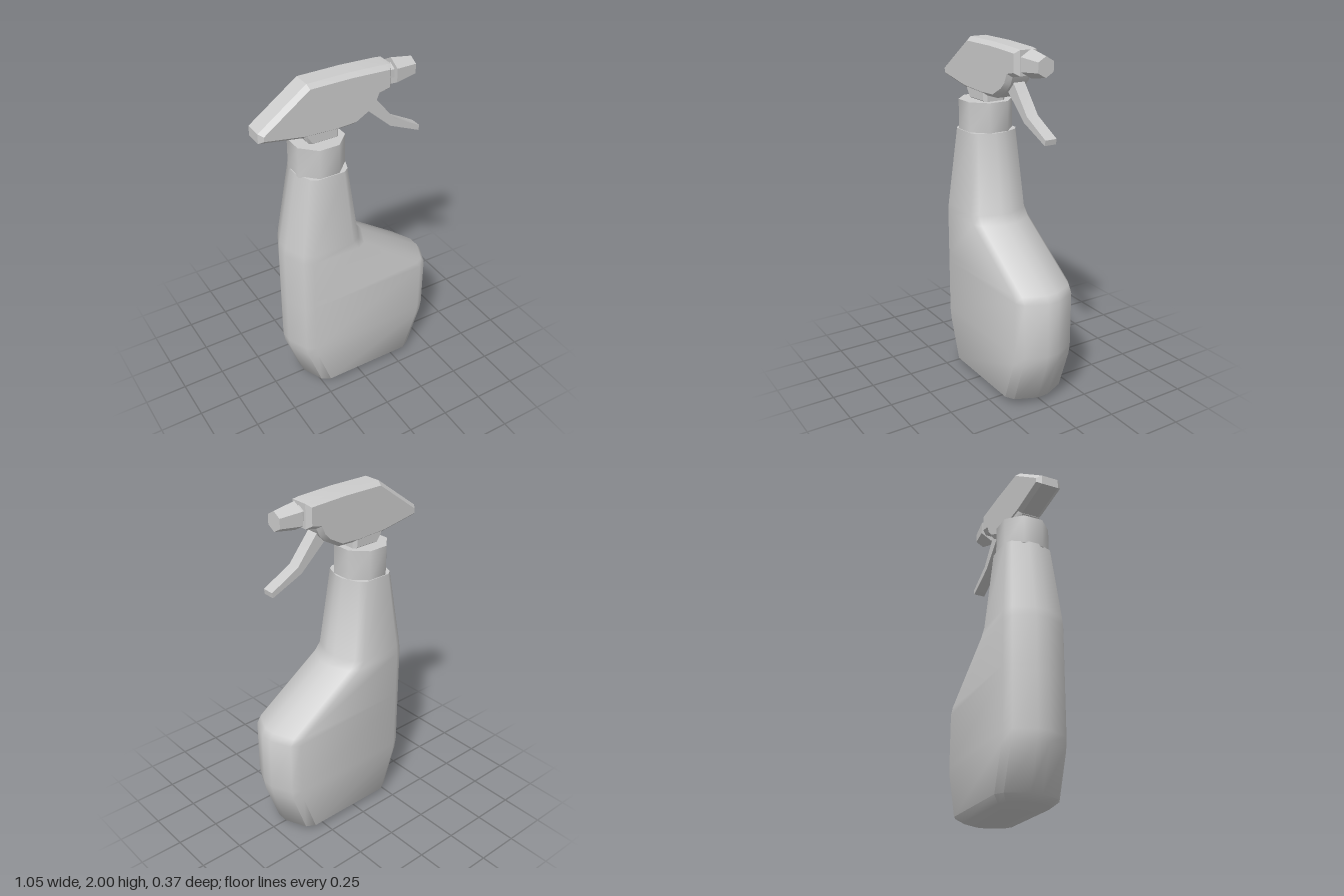
import * as THREE from 'three';
import { toCreasedNormals } from 'three/addons/utils/BufferGeometryUtils.js';

const material = new THREE.MeshStandardMaterial({ color: 0xcccccc });

function addPart(group, name, geometry, crease = 0.87) {
  const mesh = new THREE.Mesh(toCreasedNormals(geometry, crease), material);
  mesh.name = name;
  group.add(mesh);
  return mesh;
}

// Twelve-sided cross-section with rounded ends, ordered from +x towards +z
function bottleRing([y, x0, x1, depth, corner]) {
  const quarter = [[0, 0.19], [0.52, 0.84], [1, 1]];
  const right = quarter.map(([u, v]) => [x1 - u * corner, v * depth]);
  const left = quarter.map(([u, v]) => [x0 + u * corner, v * depth]).reverse();
  const front = [...right, ...left];
  const back = front.map(([x, z]) => [x, -z]).reverse();
  return [...front, ...back].map(([x, z]) => [x, y, z]);
}

// Skin a stack of rings and close both ends
function loft(rings) {
  const n = rings[0].length;
  const positions = rings.flat(2);
  const index = [];
  for (let k = 0; k < rings.length - 1; k++) {
    for (let i = 0; i < n; i++) {
      const a = k * n + i, b = k * n + (i + 1) % n;
      index.push(a, a + n, b, b, a + n, b + n);
    }
  }
  const last = (rings.length - 1) * n;
  for (let i = 1; i < n - 1; i++) {
    index.push(0, i, i + 1);
    index.push(last, last + i + 1, last + i);
  }
  const geometry = new THREE.BufferGeometry();
  geometry.setAttribute('position', new THREE.Float32BufferAttribute(positions, 3));
  geometry.setIndex(index);
  return geometry;
}

// Side profile extruded symmetrically about z = 0
function slab(points, halfDepth, bevel = 0) {
  const shape = new THREE.Shape(points.map(([x, y]) => new THREE.Vector2(x, y)));
  const depth = 2 * (halfDepth - bevel);
  const geometry = new THREE.ExtrudeGeometry(shape, {
    depth, bevelEnabled: bevel > 0, bevelSegments: 1,
    bevelSize: bevel * 0.8, bevelThickness: bevel, bevelOffset: -bevel * 0.8,
  });
  return geometry.translate(0, 0, -depth / 2);
}

// Hexagonal rod along x with a corner pointing up
function hexRod(xStart, xEnd, rStart, rEnd, y) {
  return new THREE.CylinderGeometry(rEnd, rStart, xEnd - xStart, 6, 1, false, Math.PI / 2)
    .rotateZ(-Math.PI / 2)
    .translate((xStart + xEnd) / 2, y, 0);
}

export function createModel() {
  const group = new THREE.Group();
  group.name = 'sprayBottle';

  // Bottle: height, left edge, right edge, half depth, corner length
  const sections = [
    [0, -0.26, 0.37, 0.145, 0.09],
    [0.035, -0.315, 0.43, 0.185, 0.105],
    [0.28, -0.4, 0.515, 0.185, 0.105],
    [0.34, -0.41, 0.525, 0.185, 0.105],
    [0.66, -0.41, 0.525, 0.185, 0.105],
    [0.70, -0.41, 0.5, 0.185, 0.105],
    [0.98, -0.41, 0.09, 0.185, 0.105],
    [1.03, -0.403, 0.05, 0.182, 0.1],
    [1.49, -0.32, -0.02, 0.147, 0.07],
  ];
  addPart(group, 'bottle', loft(sections.map(bottleRing)));

  // Octagonal collar with flats facing the sides
  const collarRadius = 0.142 / Math.cos(Math.PI / 8);
  addPart(group, 'collar', new THREE.CylinderGeometry(collarRadius, collarRadius, 0.18, 8, 1, false, Math.PI / 8)
    .translate(-0.175, 1.57, 0));

  // Stem between collar and head
  addPart(group, 'stem', slab([
    [-0.24, 1.65], [-0.07, 1.65], [-0.07, 1.74], [-0.28, 1.74], [-0.275, 1.70],
  ], 0.07, 0.02), 0.4);

  // Pump head
  addPart(group, 'head', slab([
    [-0.53, 1.745], [-0.28, 1.703], [-0.1, 1.695], [0.03, 1.70], [0.12, 1.75],
    [0.16, 1.79], [0.18, 1.835], [0.25, 1.85], [0.25, 1.985], [0.22, 1.99],
    [0, 2], [-0.25, 2], [-0.53, 1.80],
  ], 0.077, 0.027), 0.4);

  // Nozzle
  addPart(group, 'nozzleNeck', hexRod(0.24, 0.285, 0.046, 0.046, 1.92), 0.4);
  addPart(group, 'nozzle', hexRod(0.28, 0.41, 0.077, 0.055, 1.917), 0.4);

  // Trigger lever
  addPart(group, 'trigger', slab([
    [0.1, 1.76], [0.27, 1.607], [0.46, 1.525], [0.465, 1.555],
    [0.295, 1.645], [0.16, 1.81], [0.12, 1.82],
  ], 0.035), 0.4);

  return group;
}
